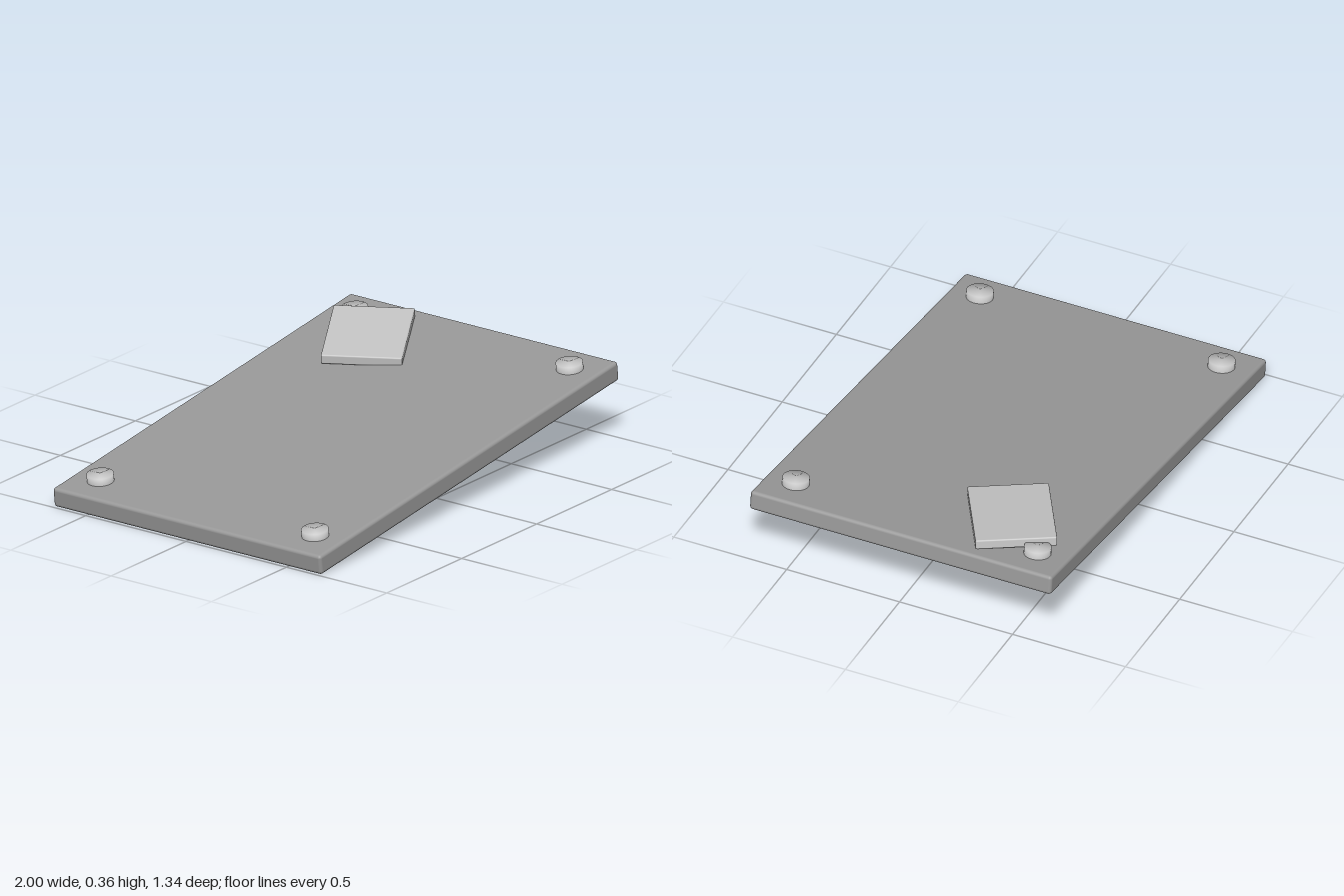
import * as THREE from 'three';
import { RoundedBoxGeometry } from 'three/addons/geometries/RoundedBoxGeometry.js';

const TILT = 0.124;

export function createModel() {
  const model = new THREE.Group();
  model.name = 'tiltedPlaque';

  const plateGrey = new THREE.MeshStandardMaterial({ color: 0x999999 });
  plateGrey.name = 'plateGrey';
  const paleGrey = new THREE.MeshStandardMaterial({ color: 0xc4c4c4 });
  paleGrey.name = 'paleGrey';

  const add = (parent, name, geometry, material, x, y, z) => {
    const mesh = new THREE.Mesh(geometry, material);
    mesh.name = name;
    mesh.position.set(x, y, z);
    parent.add(mesh);
    return mesh;
  };

  // Board and its rivets lean together, with the left (+x) end raised
  const board = new THREE.Group();
  board.name = 'board';
  board.position.y = 0.165;
  board.rotation.z = TILT;
  model.add(board);
  add(board, 'plate', new RoundedBoxGeometry(2.005, 0.083, 1.335, 3, 0.014), plateGrey, 0, 0, 0);

  // Low, softly shaded rivet in each corner
  const rivetProfile = [[0.055, -0.01], [0.055, 0.031], [0, 0.031]].map(([r, y]) => new THREE.Vector2(r, y));
  const rivetGeometry = new THREE.LatheGeometry(rivetProfile, 32);
  for (const x of [-1, 1]) {
    for (const z of [-1, 1]) {
      const name = (z > 0 ? 'front' : 'back') + (x > 0 ? 'Left' : 'Right') + 'Rivet';
      add(board, name, rivetGeometry, paleGrey, x * 0.855, 0.0415, z * 0.535);
    }
  }

  // Small tag lying askew over the back left corner
  const tag = add(model, 'tag', new RoundedBoxGeometry(0.443, 0.04, 0.327, 2, 0.006), paleGrey, 0.665, 0.313, -0.338);
  tag.rotation.set(0, Math.PI / 6, TILT);

  return model;
}
